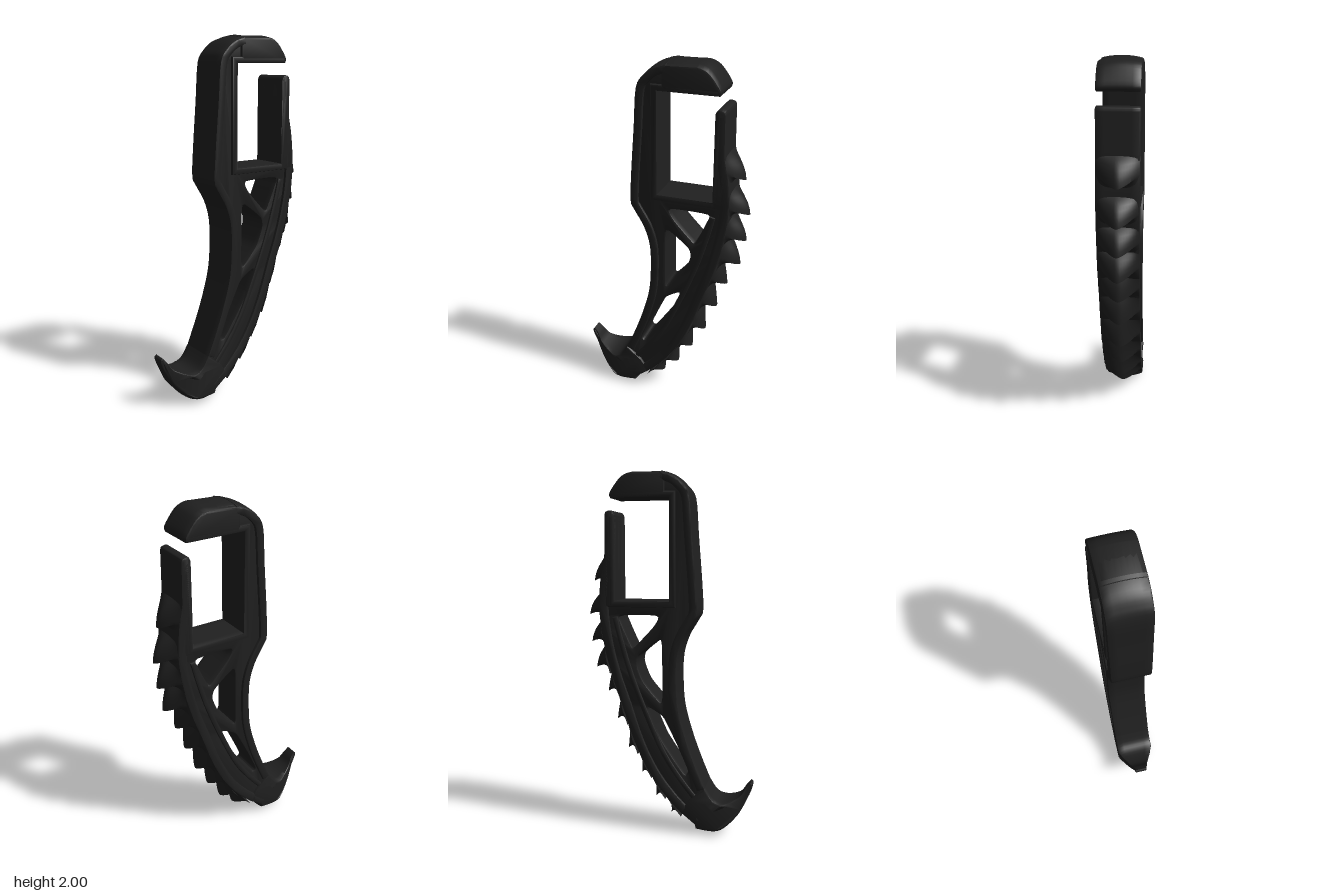
import * as THREE from 'three';
import { toCreasedNormals } from 'three/addons/utils/BufferGeometryUtils.js';

const HALF = 0.11;
const V = (z, y) => new THREE.Vector2(z, y);

// Smooth run through a few (z, y) points
function run(pts, n = 4) {
  return new THREE.SplineCurve(pts.map(p => V(p[0], p[1]))).getPoints((pts.length - 1) * n);
}
const line = pts => pts.map(p => V(p[0], p[1]));

// Side profile, walked anticlockwise from the toe hook
const hookTop = [[0.466, 0.3], [0.44, 0.27], [0.403, 0.218], [0.323, 0.186], [0.265, 0.202], [0.217, 0.27]];
const strapFront = [[0.217, 0.27], [0.164, 0.398], [0.111, 0.546], [0.069, 0.706], [0.058, 0.865], [0.063, 0.997],
  [0.095, 1.103], [0.148, 1.194], [0.17, 1.247], [0.164, 1.395], [0.143, 1.66], [0.127, 1.862], [0.085, 1.936],
  [0.032, 1.979], [-0.032, 2]];
const jawEnd = [[-0.19, 2], [-0.225, 1.99], [-0.26, 1.963], [-0.31, 1.888], [-0.307, 1.855]];
const opening = [[-0.307, 1.855], [0.016, 1.855], [0.016, 1.305], [-0.286, 1.305], [-0.286, 1.765]];
const tabEnd = [[-0.286, 1.765], [-0.296, 1.785], [-0.312, 1.79], [-0.334, 1.783], [-0.34, 1.765]];
const spine = [[-0.34, 1.765], [-0.344, 1.56], [-0.365, 1.45], [-0.378, 1.29], [-0.368, 1.157], [-0.342, 1.013],
  [-0.302, 0.87], [-0.25, 0.721], [-0.196, 0.557], [-0.135, 0.414], [-0.064, 0.292], [0.021, 0.186], [0.095, 0.111],
  [0.164, 0.042]];
const sole = [[0.17, 0.012], [0.27, 0.002], [0.34, 0.042], [0.403, 0.122], [0.45, 0.21], [0.477, 0.28], [0.466, 0.3]];

const holes = [
  [[-0.055, 1.222], [-0.258, 1.222], [-0.252, 1.175], [-0.2, 1.06], [-0.182, 1.052], [-0.075, 1.165]],
  [[-0.03, 1.077], [-0.062, 1.08], [-0.155, 1.005], [-0.166, 0.95], [-0.128, 0.852], [-0.043, 0.753], [-0.027, 0.77]],
  [[-0.105, 0.712], [-0.095, 0.663], [-0.022, 0.52], [0.095, 0.35], [0.117, 0.346], [0.116, 0.372], [0.058, 0.504],
    [-0.012, 0.645], [-0.04, 0.676]],
];

// Narrow the toe hook, and round the underside and the top across the width
function shapeAcross(geo) {
  const p = geo.attributes.position;
  for (let i = 0; i < p.count; i++) {
    let x = p.getX(i), y = p.getY(i);
    const z = p.getZ(i), u = (x / HALF) ** 2;
    if (y < 0.4) x *= 1 - 0.67 * THREE.MathUtils.clamp((z - 0.31) / 0.14, 0, 1);
    y += 0.03 * u * Math.max(0, 1 - y / 0.12);
    y -= 0.014 * u * THREE.MathUtils.clamp((y - 1.85) / 0.14, 0, 1);
    p.setXY(i, x, y);
  }
}

// Extrude a (z, y) outline evenly to both sides of x = 0
function slab(name, outline, half, mat, cutouts = [], inset = 0) {
  const shape = new THREE.Shape(outline);
  for (const h of cutouts) shape.holes.push(new THREE.Path(h));
  const b = 0.009;
  const geo = new THREE.ExtrudeGeometry(shape, {
    depth: 2 * (half - b), steps: 6, bevelEnabled: true, bevelThickness: b, bevelSize: b,
    bevelOffset: -b - inset, bevelSegments: 2,
  });
  geo.translate(0, 0, b - half);
  geo.rotateY(-Math.PI / 2);
  shapeAcross(geo);
  const mesh = new THREE.Mesh(toCreasedNormals(geo, 0.6), mat);
  mesh.name = name;
  return mesh;
}

// Strip of even thickness lying inside an edge of the profile
function band(pts, t) {
  const inner = pts.map((p, i) => {
    const a = pts[Math.max(0, i - 1)], c = pts[Math.min(pts.length - 1, i + 1)];
    const d1 = p.clone().sub(a).normalize(), d2 = c.clone().sub(p).normalize();
    const d = d1.clone().add(d2).normalize();
    const k = i > 0 && i < pts.length - 1 ? t / Math.max(0.6, d.dot(d2)) : t;
    return V(p.x - d.y * k, p.y + d.x * k);
  });
  return [...pts, ...inner.reverse()];
}

// Claw-like grip tooth: longest at the middle, fading into the spine at both sides
function tooth(a, tip, b, mat) {
  const A = V(...a), T = V(...tip), B = V(...b);
  const upper = new THREE.QuadraticBezierCurve(A, V(T.x + 0.008, A.y * 0.6 + T.y * 0.4), T);
  const mid = A.clone().add(T).multiplyScalar(0.3).addScaledVector(B, 0.4);
  const lower = new THREE.QuadraticBezierCurve(T, mid, B);
  const prof = [...upper.getPoints(6), ...lower.getPoints(6).slice(1)];
  const rows = 16, n = prof.length, pos = [], idx = [];
  for (let r = 0; r <= rows; r++) {
    const u = (r / rows) * 2 - 1, s = 1 - 0.93 * Math.abs(u) ** 1.4;
    prof.forEach((p, j) => {
      const q = A.clone().lerp(B, j / (n - 1)).lerp(p, s);
      pos.push(u * (HALF - 0.001), q.y, q.x + 0.006);
      if (r < rows && j < n - 1) {
        const i = r * n + j;
        idx.push(i, i + 1, i + n, i + 1, i + n + 1, i + n);
      }
    });
  }
  const geo = new THREE.BufferGeometry();
  geo.setAttribute('position', new THREE.Float32BufferAttribute(pos, 3));
  geo.setIndex(idx);
  const mesh = new THREE.Mesh(toCreasedNormals(geo, 0.7), mat);
  mesh.name = 'gripTooth';
  return mesh;
}

export function createModel() {
  const group = new THREE.Group();
  group.name = 'clipHook';
  const black = new THREE.MeshStandardMaterial({ color: 0x202020, side: THREE.DoubleSide });
  black.name = 'black plastic';

  // Web of the whole profile, slightly recessed, with three cutouts
  const outline = [...run(hookTop).slice(0, -1), ...run(strapFront), ...run(jawEnd).slice(0, -1),
    ...line(opening).slice(0, -1), ...run(tabEnd).slice(0, -1), ...run(spine), ...run(sole).slice(0, -1)];
  const cutouts = holes.map(h => {
    const c = new THREE.CatmullRomCurve3(h.map(p => new THREE.Vector3(p[0], p[1], 0)), true, 'catmullrom', 0.3);
    return c.getPoints(h.length * 4).slice(0, -1).map(p => V(p.x, p.y));
  });
  group.add(slab('web', outline, 0.094, black, cutouts, 0.002));

  // Full-width edges
  group.add(slab('frontStrap', band(run(strapFront), 0.045), HALF, black));
  group.add(slab('openingRim', band(line(opening), 0.035), HALF, black));
  group.add(slab('spine', band(run(spine), 0.052), HALF, black));

  // Solid jaw, latch tab and toe hook
  group.add(slab('jaw', [V(-0.01, 1.855), V(-0.01, 1.995), ...run(jawEnd)], HALF, black));
  group.add(slab('latchTab', [V(-0.286, 1.27), ...run(tabEnd), V(-0.344, 1.56), V(-0.36, 1.45), V(-0.37, 1.27)], HALF, black));
  group.add(slab('toeHook', [...run(hookTop), V(0.13, 0.2), V(0.08, 0.125), V(0.164, 0.042),
    ...run(sole).slice(0, -1)], HALF, black));

  // Inner edge of the spine
  const ridge = run([[-0.275, 1.22], [-0.24, 1.08], [-0.185, 0.9], [-0.1, 0.68], [0.0, 0.46], [0.1, 0.31], [0.19, 0.2]]);
  group.add(slab('spineRidge', band(ridge, -0.03), 0.104, black));

  // Row of grip teeth: upper root, tip, lower root
  const teeth = [
    [[-0.344, 1.56], [-0.44, 1.411], [-0.372, 1.385]], [[-0.37, 1.365], [-0.472, 1.22], [-0.372, 1.2]],
    [[-0.374, 1.205], [-0.461, 1.066], [-0.35, 1.045]], [[-0.355, 1.066], [-0.435, 0.918], [-0.325, 0.9]],
    [[-0.322, 0.925], [-0.366, 0.78], [-0.272, 0.77]], [[-0.272, 0.775], [-0.313, 0.621], [-0.225, 0.61]],
    [[-0.22, 0.61], [-0.249, 0.451], [-0.168, 0.446]], [[-0.158, 0.455], [-0.17, 0.308], [-0.09, 0.313]],
    [[-0.08, 0.31], [-0.085, 0.175], [-0.01, 0.196]], [[0.0, 0.207], [0.005, 0.085], [0.08, 0.101]],
  ];
  for (const [a, t, b] of teeth) group.add(tooth(a, t, b, black));
  return group;
}
